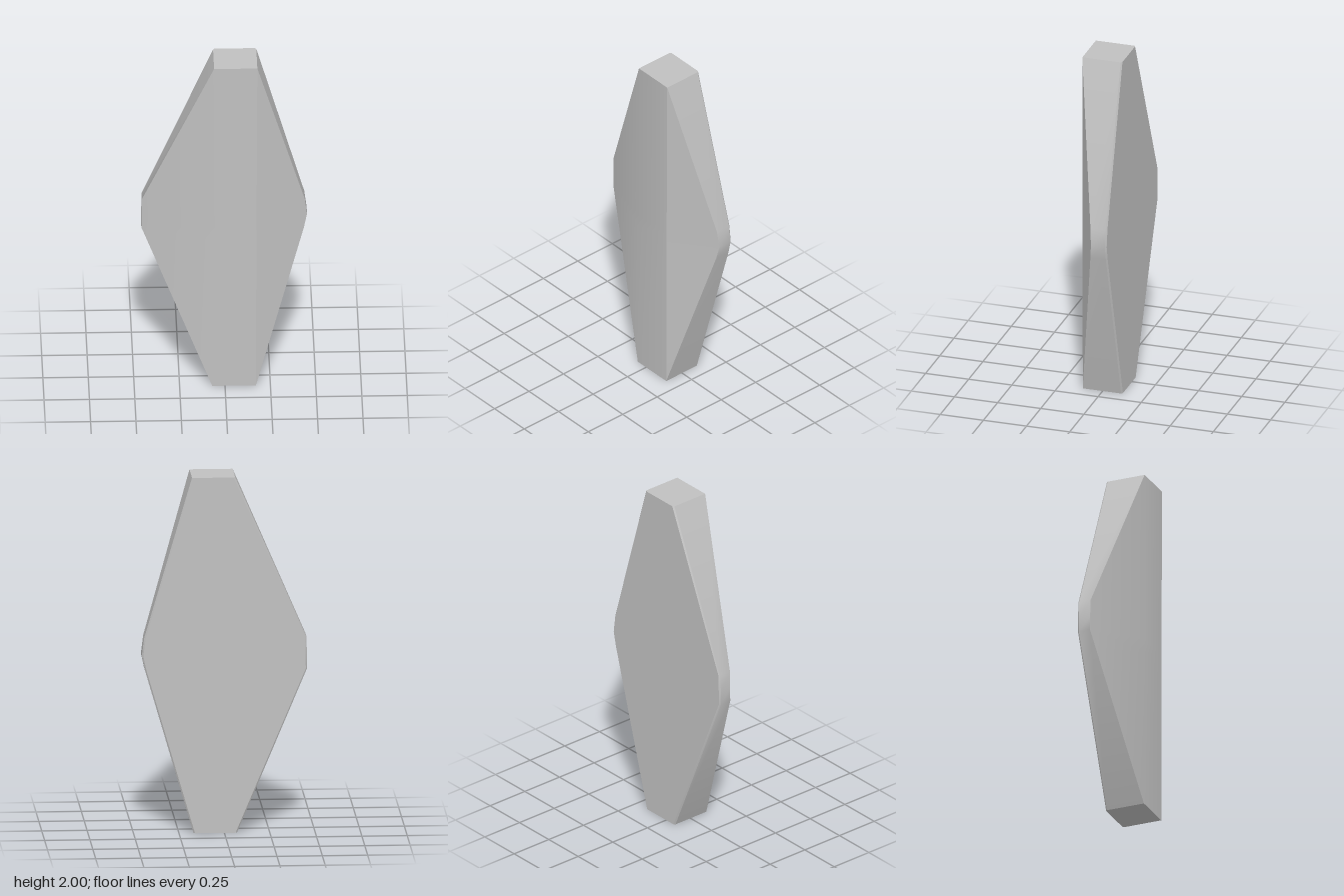
import * as THREE from 'three';
import { toCreasedNormals } from 'three/addons/utils/BufferGeometryUtils.js';

const BACK = -0.115, FRONT = 0.115, BEVEL = 0.008;

// Heights with the left and right outline and the two ridge lines
const sections = [
  { y: 0, left: -0.07, right: 0.17, ridge: [-0.07, 0.17] },
  { y: 0.92, left: -0.457, right: 0.438, ridge: [-0.065, 0.173] },
  { y: 1.0, left: -0.456, right: 0.455, ridge: [-0.065, 0.173] },
  { y: 1.1, left: -0.453, right: 0.442, ridge: [-0.065, 0.174] },
  { y: 2, left: -0.06, right: 0.178, ridge: [-0.06, 0.178] },
];

// One horizontal slice: flat back, short side walls, sloping flanks, flat ridge
function slice({ y, left, right, ridge }) {
  const zLeft = FRONT - (ridge[0] - left) * 0.395;
  const zRight = FRONT - (right - ridge[1]) * 0.5;
  return [
    [left + BEVEL, BACK], [right - BEVEL, BACK],
    [right, BACK + BEVEL], [right, zRight],
    [ridge[1], FRONT], [ridge[0], FRONT],
    [left, zLeft], [left, BACK + BEVEL],
  ].map(([x, z]) => new THREE.Vector3(x, y, z));
}

function bladeGeometry() {
  const rings = sections.map(slice);
  const n = rings[0].length;
  const positions = [];
  const tri = (a, b, c) => {
    if (new THREE.Triangle(a, b, c).getArea() < 1e-7) return;
    for (const p of [a, b, c]) positions.push(p.x, p.y, p.z);
  };
  // Skin between neighbouring slices
  for (let i = 0; i < rings.length - 1; i++) {
    for (let j = 0; j < n; j++) {
      const k = (j + 1) % n, low = rings[i], high = rings[i + 1];
      tri(low[j], high[j], low[k]);
      tri(low[k], high[j], high[k]);
    }
  }
  // End caps
  const bottom = rings[0], top = rings[rings.length - 1];
  for (let j = 1; j < n - 1; j++) {
    tri(bottom[0], bottom[j], bottom[j + 1]);
    tri(top[0], top[j + 1], top[j]);
  }
  const geometry = new THREE.BufferGeometry();
  geometry.setAttribute('position', new THREE.Float32BufferAttribute(positions, 3));
  return toCreasedNormals(geometry, 0.45);
}

export function createModel() {
  const grey = new THREE.MeshStandardMaterial({ color: 0xc0c0c0 });
  grey.name = 'grey';
  const blade = new THREE.Mesh(bladeGeometry(), grey);
  blade.name = 'ridgedBlade';
  const model = new THREE.Group();
  model.name = 'ridgedDiamondPlate';
  model.add(blade);
  return model;
}
